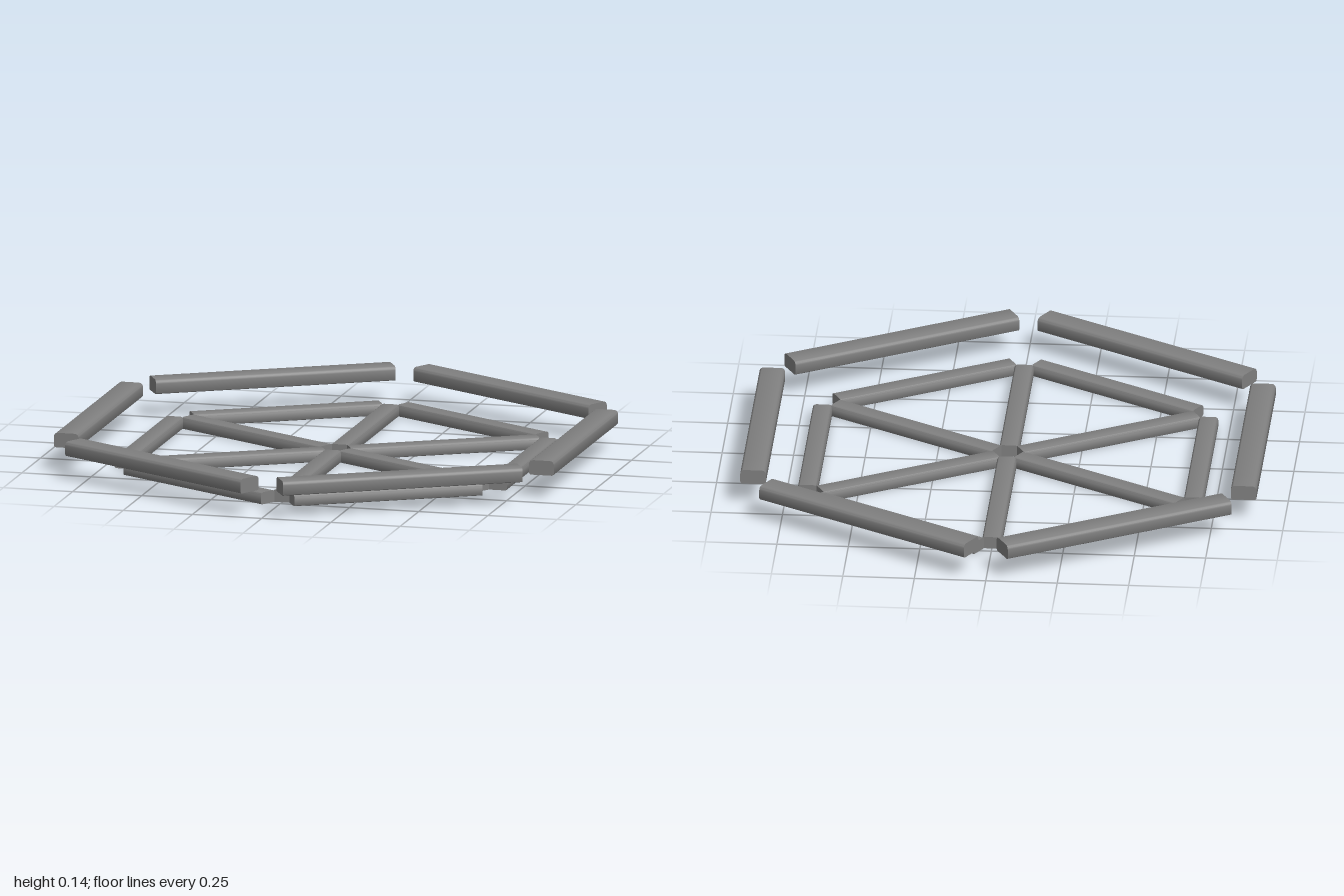
import * as THREE from 'three';
import { toCreasedNormals } from 'three/addons/utils/BufferGeometryUtils.js';

const material = new THREE.MeshStandardMaterial({ color: 0x808080 });

// Rounded bar along z, standing on y = 0, with a blind ribbed slot cut into its underside
function barGeometry(width, height, length) {
  const w = width / 2, slotW = width * 0.28, slotEnd = length * 0.4, depth = height * 0.6;
  const outline = [];
  const corner = (sx, y, r, from) => {
    for (let i = 0; i <= 4; i++) {
      const a = from + (i / 4) * Math.PI / 2;
      const cy = y === 0 ? r : y - r;
      outline.push([sx * (w - r) + r * Math.cos(a), cy + r * Math.sin(a)]);
    }
  };
  corner(1, 0, height * 0.16, -Math.PI / 2);
  corner(1, height, height * 0.28, 0);
  corner(-1, height, height * 0.28, Math.PI / 2);
  corner(-1, 0, height * 0.16, Math.PI);

  // Slot with a low rib along its middle, as fractions of its half width and depth
  const slot = [[-1, 0], [-1, 1], [-0.4, 1], [-0.2, 0.65], [0.2, 0.65], [0.4, 1], [1, 1], [1, 0]];

  // Cross-sections: the slot has zero depth at the solid ends
  const section = (z, d) => [...outline, ...slot.map(([x, y]) => [x * slotW, y * d])]
    .map(([x, y]) => [x, y, z]);
  const half = length / 2;
  const rings = [
    section(-half, 0), section(-slotEnd, 0), section(-slotEnd, depth),
    section(slotEnd, depth), section(slotEnd, 0), section(half, 0),
  ];
  const positions = [];
  const triangle = (a, b, c) => {
    const [va, vb, vc] = [a, b, c].map((p) => new THREE.Vector3(...p));
    if (vb.sub(va).cross(vc.sub(va)).length() > 1e-9) positions.push(...a, ...b, ...c);
  };
  for (let i = 0; i < rings.length - 1; i++) {
    const p = rings[i], q = rings[i + 1];
    for (let j = 0; j < p.length; j++) {
      const k = (j + 1) % p.length;
      triangle(p[j], p[k], q[k]);
      triangle(p[j], q[k], q[j]);
    }
  }
  // End caps
  const first = rings[0], last = rings[rings.length - 1];
  for (let j = 1; j < outline.length - 1; j++) {
    triangle(last[0], last[j], last[j + 1]);
    triangle(first[0], first[j + 1], first[j]);
  }
  const geometry = new THREE.BufferGeometry();
  geometry.setAttribute('position', new THREE.Float32BufferAttribute(positions, 3));
  return toCreasedNormals(geometry, Math.PI / 5);
}

// Six copies of a bar around the vertical axis
function ring(name, geometry, radius, y, startAngle, radial) {
  const group = new THREE.Group();
  group.name = name + 's';
  for (let i = 0; i < 6; i++) {
    const angle = startAngle + i * Math.PI / 3;
    const bar = new THREE.Mesh(geometry, material);
    bar.name = name;
    bar.position.set(Math.sin(angle) * radius, y, Math.cos(angle) * radius);
    bar.rotation.y = angle + (radial ? 0 : Math.PI / 2);
    group.add(bar);
  }
  return group;
}

export function createModel() {
  const model = new THREE.Group();
  model.name = 'hexagonalBarFrame';
  const outer = barGeometry(0.09, 0.052, 0.865);
  const inner = barGeometry(0.068, 0.043, 0.68);
  model.add(
    ring('outerBar', outer, 0.858, 0.083, Math.PI / 6, false),
    ring('innerBar', inner, 0.675, 0, Math.PI / 6, false),
    ring('spoke', inner, 0.387, 0, 0, true),
  );
  return model;
}
